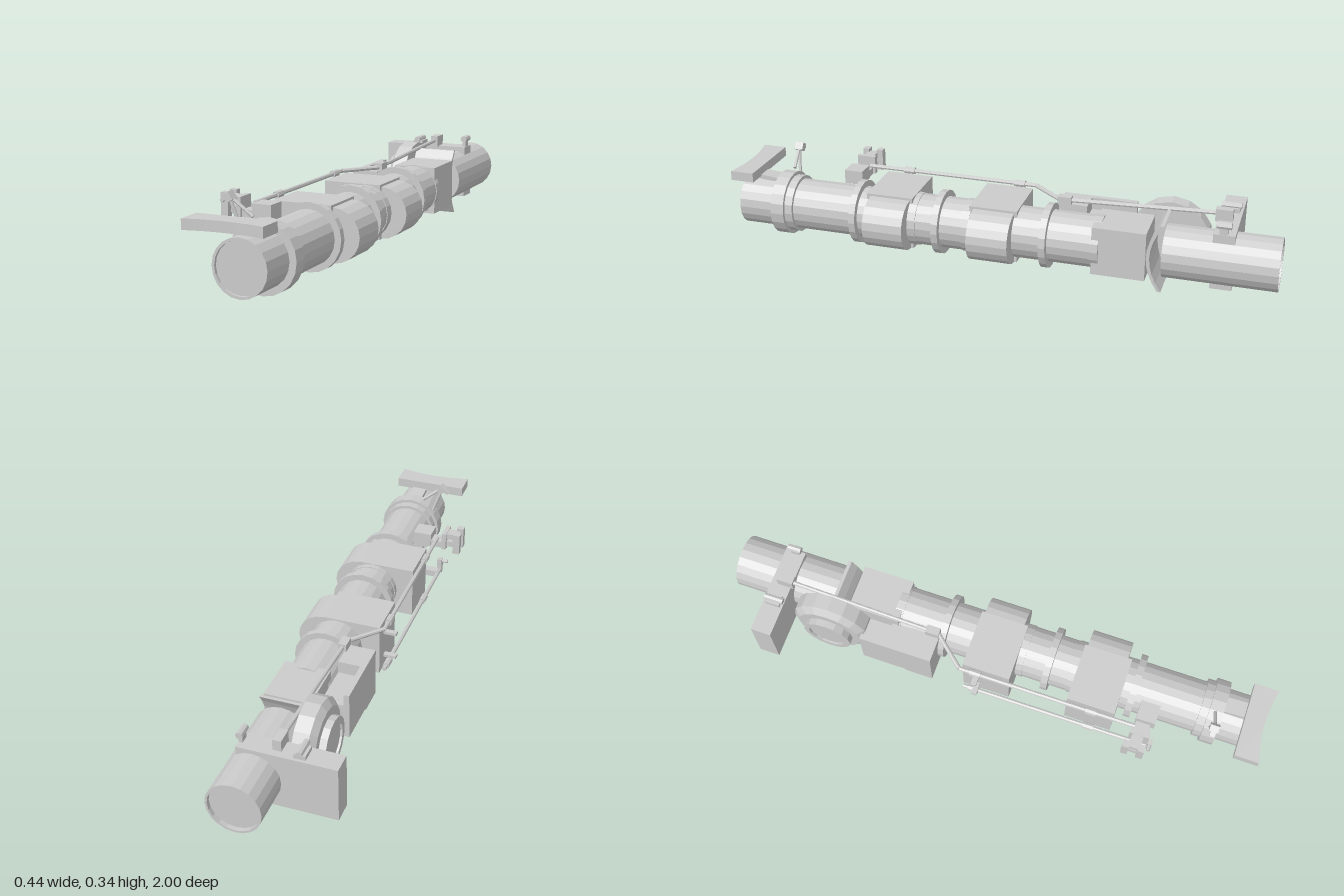
import * as THREE from 'three';

const CX = 0.065, CY = 0.146; // axis of the main tube

export function createModel() {
  const model = new THREE.Group();
  const mat = new THREE.MeshStandardMaterial({ color: 0xcccccc, flatShading: true, side: THREE.DoubleSide });

  const add = (name, geo) => {
    const mesh = new THREE.Mesh(geo, mat);
    mesh.name = name;
    model.add(mesh);
    return mesh;
  };
  // Box from its lower and upper limits
  const box = (name, x0, x1, y0, y1, z0, z1) => {
    const m = add(name, new THREE.BoxGeometry(x1 - x0, y1 - y0, z1 - z0));
    m.position.set((x0 + x1) / 2, (y0 + y1) / 2, (z0 + z1) / 2);
    return m;
  };
  // Body turned around the main axis, profile as [radius, z]
  const turned = (name, profile) => {
    const geo = new THREE.LatheGeometry(profile.map(p => new THREE.Vector2(...p)), 20);
    geo.rotateX(Math.PI / 2);
    add(name, geo).position.set(CX, CY, 0);
  };
  const ring = (name, r, z0, z1) => turned(name, [[0.08, z0], [r, z0], [r, z1], [0.08, z1]]);
  // Straight round bar between two points
  const bar = (name, a, b, r, sides = 8) => {
    const p = new THREE.Vector3(...a), q = new THREE.Vector3(...b), d = q.clone().sub(p);
    const m = add(name, new THREE.CylinderGeometry(r, r, d.length(), sides));
    m.position.copy(p).add(q).multiplyScalar(0.5);
    m.quaternion.setFromUnitVectors(new THREE.Vector3(0, 1, 0), d.normalize());
  };
  const extrude = (name, pts, depth) => add(name, new THREE.ExtrudeGeometry(
    new THREE.Shape(pts.map(p => new THREE.Vector2(...p))), { depth, bevelEnabled: false }));

  // Main tube in two lengths, each with a shallow recessed end
  turned('frontTube', [[0, -0.36], [0.094, -0.36], [0.094, 0.975], [0.085, 0.975], [0.085, 0.965], [0, 0.965]]);
  turned('rearTube', [[0, -0.985], [0.087, -0.985], [0.087, -1], [0.095, -1], [0.095, -0.605], [0, -0.605]]);

  // Collars and thin rings
  ring('frontCollar', 0.118, 0.79, 0.84);
  ring('frontCollarStep', 0.106, 0.76, 0.79);
  for (const z of [0.52, 0.205, -0.19]) ring('clampRing', 0.117, z - 0.012, z + 0.012);
  for (const z of [-0.37, 0.1, 0.3]) ring('tubeBand', 0.097, z - 0.015, z + 0.015);

  // Two clamp blocks, flat on the left and rounded on the right
  for (const z of [-0.085, 0.305]) {
    const pts = [[0.12, 0.245], [-0.095, 0.245], [-0.095, 0.048], [0.12, 0.048]];
    extrude('clampBlock', pts, 0.175).position.z = z;
    const round = [];
    for (let i = 0; i <= 10; i++) {
      const a = -Math.PI / 2 + Math.PI * i / 10;
      round.push([0.118 + 0.098 * Math.cos(a), 0.143 + 0.094 * Math.sin(a)]);
    }
    extrude('clampBlockRound', round, 0.15).position.z = z + 0.01;
  }

  // Square breech housing with a bowed shield behind it
  box('breechHousing', -0.015, 0.15, 0.058, 0.236, -0.55, -0.36);
  const bow = [];
  for (let i = 0; i <= 8; i++) bow.push([-0.55 - 0.045 * ((i - 4) / 4) ** 2, 0.018 + 0.25 * i / 8]);
  const shieldPts = [...bow, ...bow.map(([z, y]) => [z - 0.012, y]).reverse()];
  const shield = extrude('shield', shieldPts, 0.16);
  shield.rotation.y = -Math.PI / 2;
  shield.position.x = 0.14;

  // Side wheel with a rimmed hub
  const wheel = [[0, -0.02], [0.145, -0.02], [0.145, -0.075], [0.12, -0.095], [0.09, -0.095],
    [0.09, -0.12], [0.07, -0.12], [0.07, -0.112], [0, -0.112]];
  const wheelGeo = new THREE.LatheGeometry(wheel.map(([r, x]) => new THREE.Vector2(r, x)), 16);
  wheelGeo.rotateZ(-Math.PI / 2);
  add('sideWheel', wheelGeo).position.set(0, 0.145, -0.605);

  // Side case with an open channel
  box('sideCase', -0.12, -0.02, 0.05, 0.235, -0.305, -0.2);
  box('sideCaseWall', -0.12, -0.1, 0.06, 0.235, -0.47, -0.3);
  box('sideCaseFloor', -0.11, -0.02, 0.06, 0.19, -0.47, -0.3);

  // Rear plate around the tube, with fittings on top
  box('rearPlate', -0.22, 0.12, 0.05, 0.255, -0.845, -0.77);
  box('rearFitting', -0.11, -0.07, 0.25, 0.27, -0.835, -0.78);
  bar('rearRoller', [-0.09, 0.275, -0.84], [-0.09, 0.275, -0.77], 0.012);
  bar('rearHook', [0.112, 0.287, -0.83], [0.112, 0.287, -0.78], 0.013);
  box('rearHookPost', 0.105, 0.118, 0.25, 0.285, -0.82, -0.79);

  // Front cross bar with a hollowed front edge and its support
  const edge = [];
  for (let i = 0; i <= 8; i++) edge.push([0.16 - 0.275 * i / 8, 0.982 + 0.018 * ((i - 4) / 4) ** 2]);
  const cross = extrude('frontCrossBar', [[-0.115, 0.912], [0.16, 0.912], ...edge], 0.035);
  cross.rotation.x = Math.PI / 2;
  cross.position.y = 0.285;
  const strap = box('crossBarSupport', 0.038, 0.094, 0.236, 0.252, 0.83, 0.93);
  strap.rotation.x = -0.1;

  // Lever on the front collar
  bar('leverLeg', [-0.02, 0.215, 0.81], [-0.055, 0.32, 0.82], 0.006);
  bar('leverLeg', [0.02, 0.265, 0.81], [-0.055, 0.325, 0.82], 0.006);
  box('leverHead', -0.067, -0.043, 0.308, 0.336, 0.803, 0.835).rotation.z = 0.6;
  box('leverTip', -0.085, -0.065, 0.308, 0.318, 0.81, 0.828).rotation.z = 0.6;

  // Sight bracket at the front left
  box('bracketBase', -0.09, -0.02, 0.21, 0.262, 0.555, 0.625);
  box('bracketArm', -0.152, -0.085, 0.21, 0.235, 0.56, 0.61);
  box('bracketUpright', -0.152, -0.135, 0.21, 0.278, 0.55, 0.62);
  for (const y of [0.232, 0.265]) box('sightBlock', -0.2, -0.15, y - 0.011, y + 0.011, 0.56, 0.6);
  for (const z of [0.55, 0.605]) box('sightPost', -0.21, -0.183, 0.207, 0.288, z - 0.012, z + 0.012);
  const brace = box('bracketBrace', -0.1, 0.0, 0.19, 0.215, 0.565, 0.615);
  brace.rotation.z = -0.75;
  brace.position.x = -0.045;

  // Upper control rod, cranked inwards towards the rear
  const path = [[-0.115, 0.25, 0.56], [-0.115, 0.25, -0.09], [-0.015, 0.252, -0.205], [-0.01, 0.278, -0.8]];
  for (let i = 0; i < 3; i++) bar('upperRod', path[i], path[i + 1], 0.008);
  for (const z of [0.4, -0.03]) bar('rodSleeve', [-0.115, 0.25, z - 0.02], [-0.115, 0.25, z + 0.02], 0.013);
  box('rodJoint', -0.03, 0, 0.24, 0.268, -0.25, -0.2);
  box('rodEnd', -0.025, 0.005, 0.25, 0.295, -0.82, -0.76);

  // Lower control rod with sleeves and a turned-up handle
  bar('lowerRod', [-0.112, 0.065, -0.08], [-0.112, 0.065, 0.635], 0.008);
  for (const z of [0.4, -0.04]) bar('rodSleeve', [-0.112, 0.065, z - 0.02], [-0.112, 0.065, z + 0.02], 0.013);
  box('handleUpright', -0.12, -0.102, 0.055, 0.115, 0.62, 0.64);
  bar('handleGrip', [-0.142, 0.105, 0.632], [-0.1, 0.105, 0.632], 0.007);
  box('lowerRodMount', -0.11, 0.04, 0.05, 0.075, 0.59, 0.62);
  for (const y of [0.095, 0.195]) box('sidePeg', -0.142, -0.09, y - 0.005, y + 0.005, -0.04, -0.02);

  return model;
}
